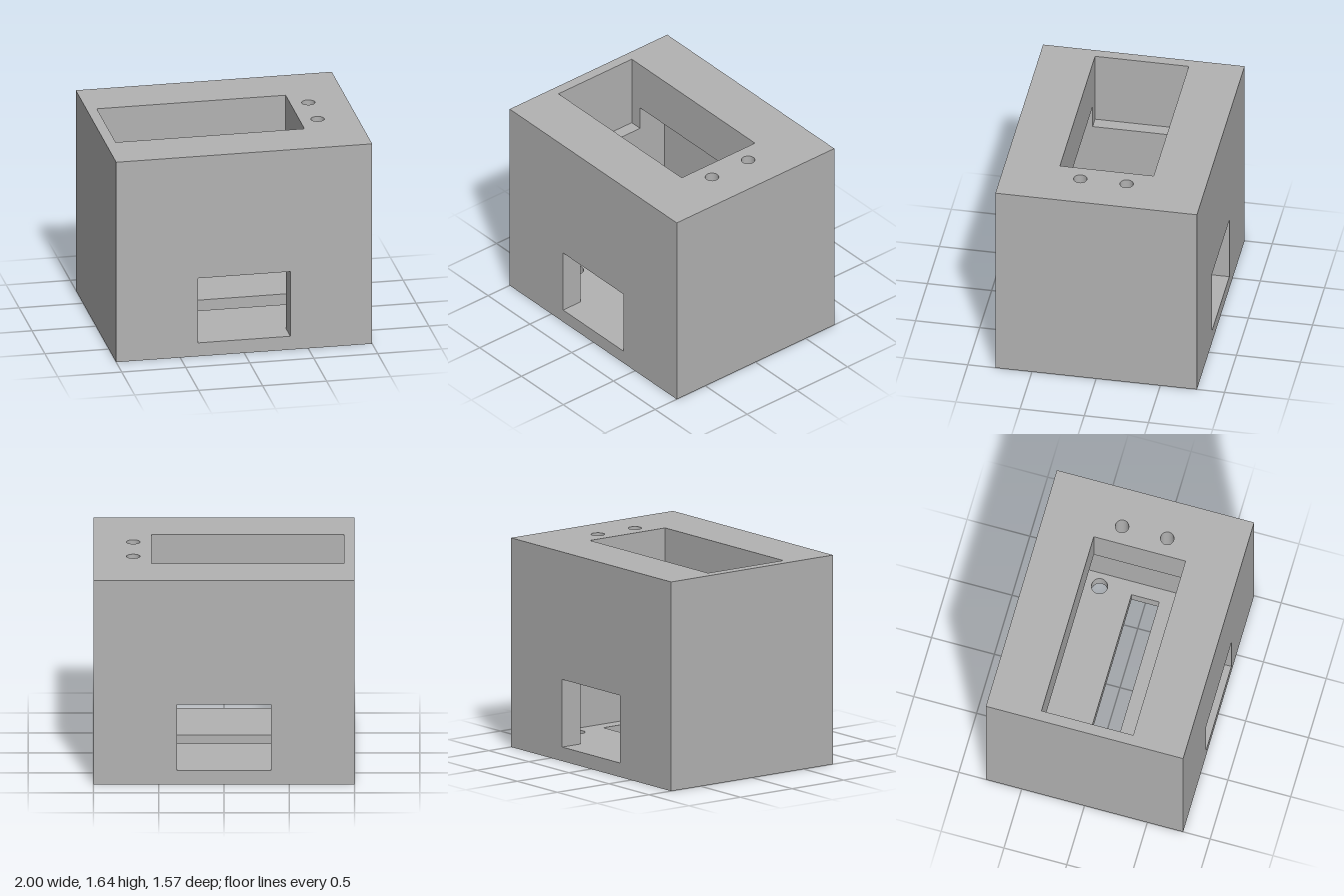
import * as THREE from 'three';

// Outer block, inner cavity and openings
const W = 1, D = 0.785, H = 1.64;
const CX = 0.82, CZ = 0.61, FLOOR = 0.11, CEIL = 1.24;
const WIN = 0.36, WIN_TOP = 0.64;
const PX0 = -0.92, PX1 = 0.555, PZ = 0.365, LEDGE = 1.05;

const points = (list) => list.map(([x, y]) => new THREE.Vector2(x, y));
const rect = (x0, y0, x1, y1) => points([[x0, y0], [x1, y0], [x1, y1], [x0, y1]]);
const circle = (x, y, r) =>
  new THREE.Path().absarc(x, y, r, 0, Math.PI * 2).getPoints(20).slice(0, -1);

// Directions a flat sheet can face
const turns = {
  front: [0, 0], back: [0, Math.PI], left: [0, Math.PI / 2], right: [0, -Math.PI / 2],
  up: [-Math.PI / 2, 0], down: [Math.PI / 2, 0],
};

export function createModel() {
  const group = new THREE.Group();
  group.name = 'housing';
  const grey = new THREE.MeshStandardMaterial({ color: 0xb2b2b2, side: THREE.DoubleSide });
  grey.name = 'plain grey';

  function place(name, geometry, facing, x, y, z) {
    const mesh = new THREE.Mesh(geometry, grey);
    mesh.name = name;
    mesh.rotation.set(turns[facing][0], turns[facing][1], 0);
    mesh.position.set(x, y, z);
    group.add(mesh);
  }

  // Flat sheet with holes
  function sheet(name, facing, [x, y, z], outline, holes = []) {
    const shape = new THREE.Shape(outline);
    shape.holes = holes.map((h) => new THREE.Path(h));
    place(name, new THREE.ShapeGeometry(shape), facing, x, y, z);
  }

  // Inward-facing walls of an opening, running back from its sheet
  function lining(name, facing, [x, y, z], outline, depth, closed = true) {
    const v = [];
    const n = outline.length;
    for (let i = 0; i < (closed ? n : n - 1); i++) {
      const a = outline[i], b = outline[(i + 1) % n];
      v.push(a.x, a.y, 0, b.x, b.y, 0, b.x, b.y, -depth);
      v.push(a.x, a.y, 0, b.x, b.y, -depth, a.x, a.y, -depth);
    }
    const g = new THREE.BufferGeometry();
    g.setAttribute('position', new THREE.Float32BufferAttribute(v, 3));
    g.computeVertexNormals();
    place(name, g, facing, x, y, z);
  }

  // Base: slot and four screw holes through the floor
  const slot = rect(-0.715, -0.11, 0.715, 0.11);
  const baseHoles = [slot];
  for (const sx of [-1, 1]) {
    for (const sz of [-1, 1]) baseHoles.push(circle(sx * 0.715, sz * 0.365, 0.062));
  }
  sheet('underside', 'down', [0, 0, 0], rect(-W, -D, W, D), baseHoles);
  sheet('cavityFloor', 'up', [0, FLOOR, 0], rect(-CX, -CZ, CX, CZ), baseHoles);
  baseHoles.forEach((h, i) =>
    lining(i ? 'screwHole' : 'floorSlot', 'up', [0, FLOOR, 0], h, FLOOR));

  // Top: large pocket and two small round holes
  const pocket = rect(PX0, -PZ, PX1, PZ);
  const topHoles = [-1, 1].map((s) => circle(0.695, s * 0.18, 0.052));
  sheet('topFace', 'up', [0, H, 0], rect(-W, -D, W, D), [pocket, ...topHoles]);
  lining('pocketWalls', 'up', [0, H, 0], pocket, H - CEIL);
  topHoles.forEach((h) => lining('topHole', 'up', [0, H, 0], h, H - CEIL));
  sheet('cavityCeiling', 'down', [0, CEIL, 0], points([
    [-CX, -CZ], [CX, -CZ], [CX, CZ], [-CX, CZ],
    [-CX, PZ], [PX1, PZ], [PX1, -PZ], [-CX, -PZ],
  ]), topHoles);

  // Ledge where the pocket cuts into the end wall
  lining('ledgeWalls', 'up', [0, CEIL, 0],
    points([[-CX, PZ], [PX0, PZ], [PX0, -PZ], [-CX, -PZ]]), CEIL - LEDGE, false);
  sheet('ledge', 'up', [0, LEDGE, 0], rect(PX0, -PZ, -CX, PZ));

  // Front and back walls, each with a window
  const win = rect(-WIN, FLOOR, WIN, WIN_TOP);
  const innerWall = points([
    [-CX, FLOOR], [-WIN, FLOOR], [-WIN, WIN_TOP], [WIN, WIN_TOP],
    [WIN, FLOOR], [CX, FLOOR], [CX, CEIL], [-CX, CEIL],
  ]);
  for (const [s, out, inward] of [[1, 'front', 'back'], [-1, 'back', 'front']]) {
    sheet(out + 'Face', out, [0, 0, s * D], rect(-W, 0, W, H), [win]);
    lining(out + 'Window', out, [0, 0, s * D], win, D - CZ);
    sheet(out + 'InnerWall', inward, [0, 0, s * CZ], innerWall);
  }

  // End walls
  sheet('leftFace', 'left', [W, 0, 0], rect(-D, 0, D, H));
  sheet('rightFace', 'right', [-W, 0, 0], rect(-D, 0, D, H));
  sheet('leftInnerWall', 'right', [CX, 0, 0], rect(-CZ, FLOOR, CZ, CEIL));
  sheet('rightInnerWall', 'left', [-CX, 0, 0], points([
    [-CZ, FLOOR], [CZ, FLOOR], [CZ, CEIL], [PZ, CEIL],
    [PZ, LEDGE], [-PZ, LEDGE], [-PZ, CEIL], [-CZ, CEIL],
  ]));

  return group;
}
